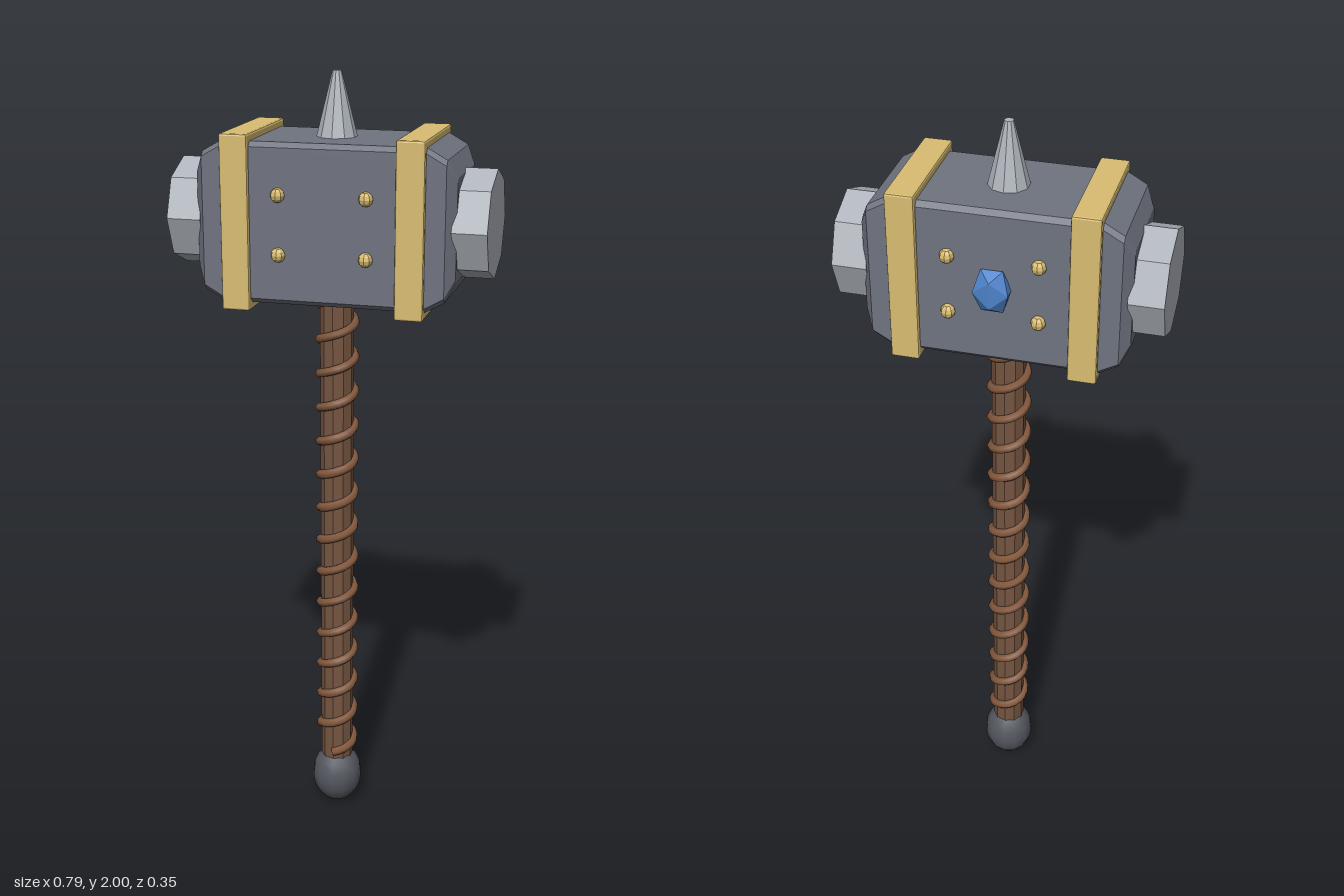
import * as THREE from 'three';
import { ConvexGeometry } from 'three/addons/geometries/ConvexGeometry.js';
import { RoundedBoxGeometry } from 'three/addons/geometries/RoundedBoxGeometry.js';

const Z = 0.006;        // common axis depth of the hammer
const HEAD_Y = 1.65;    // height of the head's centre

const paint = (color, flatShading = true) => {
  const m = new THREE.MeshStandardMaterial({ color });
  m.flatShading = flatShading;
  return m;
};
const iron = paint(0x707480);
const steel = paint(0xb0b5bd);
const gold = paint(0xd9bd72);
const wood = paint(0x755541);
const leather = paint(0x83583d, false);
const pommelIron = paint(0x54575f, false);
const blue = paint(0x4d82c8);

// Block with chamfered long edges and tapering ends
function headGeometry() {
  const c = 0.012;
  const stations = [[0.25, 0.195, 0.143], [0.298, 0.168, 0.143], [0.32, 0.125, 0.114]];
  const points = [];
  for (const [x, hy, hz] of stations)
    for (const sx of [-1, 1])
      for (const sy of [-1, 1])
        for (const sz of [-1, 1]) {
          points.push(new THREE.Vector3(sx * x, sy * hy, sz * (hz - c)));
          points.push(new THREE.Vector3(sx * x, sy * (hy - c), sz * hz));
        }
  return new ConvexGeometry(points);
}

// Helix of leather cord climbing the handle
class Helix extends THREE.Curve {
  getPoint(t, target = new THREE.Vector3()) {
    const a = t * Math.PI * 2 * 14;
    return target.set(0.045 * Math.sin(a), 0.17 + 1.28 * t, 0.045 * Math.cos(a));
  }
}

export function createModel() {
  const model = new THREE.Group();
  model.name = 'warHammer';
  const add = (name, geometry, material, x, y, z = Z) => {
    const mesh = new THREE.Mesh(geometry, material);
    mesh.name = name;
    mesh.position.set(x, y, z);
    model.add(mesh);
    return mesh;
  };

  // Handle, cord and pommel
  add('handle', new THREE.CylinderGeometry(0.043, 0.043, 1.33, 10), wood, 0, 0.805);
  add('handleWrap', new THREE.TubeGeometry(new Helix(), 280, 0.012, 6), leather, 0, 0);
  add('pommel', new THREE.SphereGeometry(0.068, 12, 10), pommelIron, 0, 0.083).scale.y = 1.22;

  // Head and top spike
  add('head', headGeometry(), iron, 0, HEAD_Y);
  add('spike', new THREE.CylinderGeometry(0.011, 0.051, 0.16, 10), steel, 0, 1.92);

  // Striking faces, bands and rivets, mirrored left and right
  for (const s of [-1, 1]) {
    const side = s > 0 ? 'left' : 'right';
    add(side + 'StrikingFace', new THREE.CylinderGeometry(0.133, 0.133, 0.085, 8), steel, s * 0.3525, HEAD_Y)
      .rotation.z = Math.PI / 2;
    add(side + 'Band', new RoundedBoxGeometry(0.07, 0.426, 0.311, 1, 0.005), gold, s * 0.215, HEAD_Y);
    for (const sy of [-1, 1])
      for (const sz of [-1, 1])
        add(side + 'Rivet', new THREE.SphereGeometry(0.018, 8, 6), gold,
          s * 0.108, HEAD_Y + sy * 0.072, Z + sz * 0.147);
  }

  // Gem set into the back
  add('gem', new THREE.IcosahedronGeometry(1, 0), blue, 0, HEAD_Y, -0.147)
    .scale.set(0.05, 0.063, 0.034);

  return model;
}
